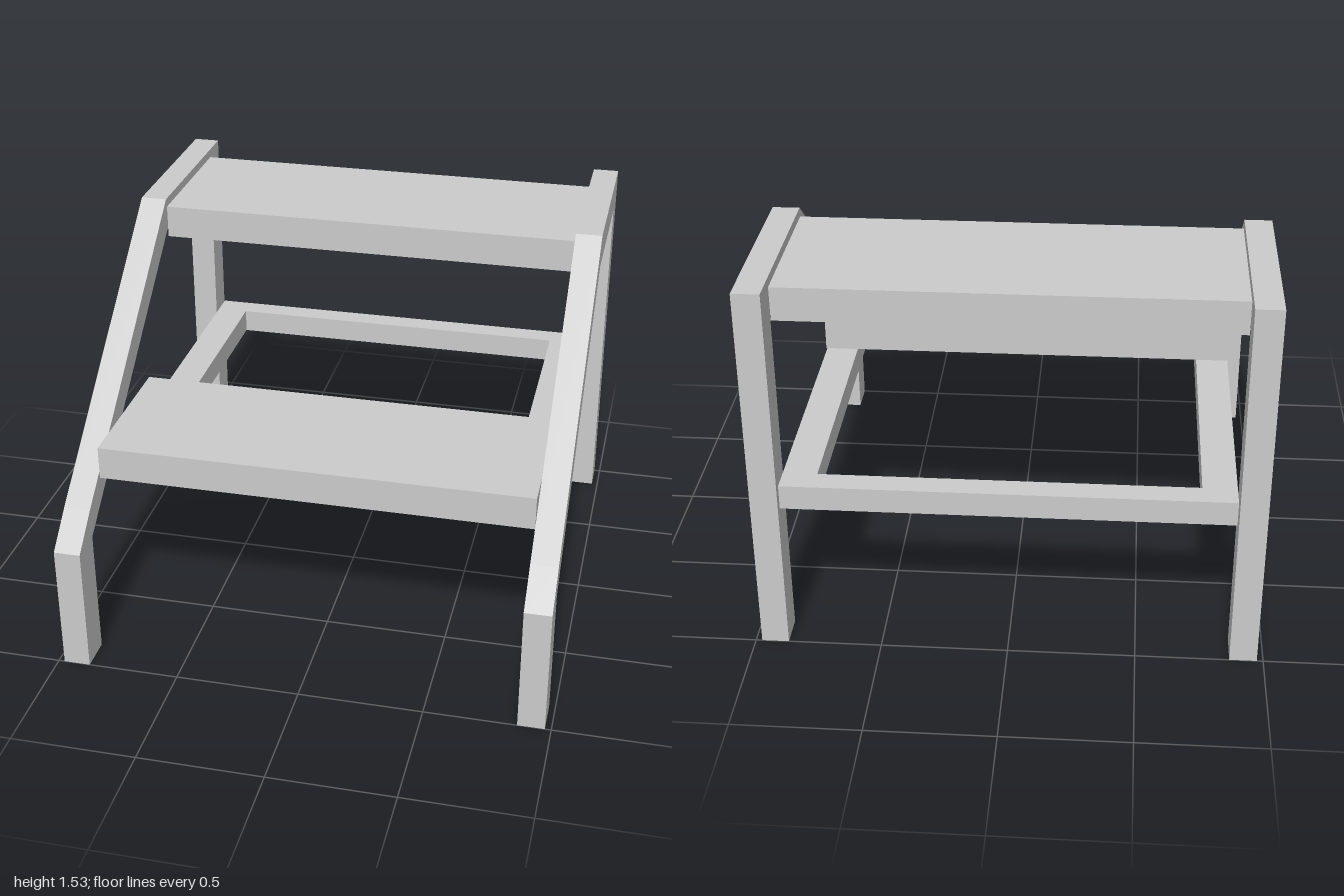
import * as THREE from 'three';

const material = new THREE.MeshStandardMaterial({ color: 0xcccccc, flatShading: true, side: THREE.DoubleSide });

const toShape = (points) => new THREE.Shape(points.map(([x, y]) => new THREE.Vector2(x, y)));

// Points are (z, y); the profile is extruded along x, centred on the given x
function sideFrame(name, points, width, x) {
  const geometry = new THREE.ExtrudeGeometry(toShape(points), { depth: width, bevelEnabled: false });
  geometry.translate(0, 0, -width / 2);
  geometry.rotateY(-Math.PI / 2);
  const mesh = new THREE.Mesh(geometry, material);
  mesh.position.x = x;
  mesh.name = name;
  return mesh;
}

// Board spanning between the side frames
function board(name, bottom, top, back, front) {
  const mesh = new THREE.Mesh(new THREE.BoxGeometry(1.735, top - bottom, front - back), material);
  mesh.position.set(0, (bottom + top) / 2, (back + front) / 2);
  mesh.name = name;
  return mesh;
}

const rectangle = (x, y0, y1) => [[-x, y0], [x, y0], [x, y1], [-x, y1]];

export function createModel() {
  const model = new THREE.Group();
  model.name = 'stepStool';

  // Bent side frames: short front leg, sloping rail, top rail, tall back leg
  const profile = [
    [1, 0], [1, 0.525], [0.86, 0.65], [-0.235, 1.535], [-1, 1.535], [-1, 0],
    [-0.87, 0], [-0.87, 1.4], [-0.235, 1.4], [0.86, 0.525], [0.86, 0],
  ];
  model.add(sideFrame('leftSideFrame', profile, 0.107, 0.922));
  model.add(sideFrame('rightSideFrame', profile, 0.107, -0.922));

  // Treads
  model.add(board('topStep', 1.365, 1.5, -0.87, -0.24));
  model.add(board('lowerStep', 0.725, 0.86, 0.108, 0.735));

  // Rectangular brace under the lower step
  const outline = toShape(rectangle(0.863, -0.575, 0.99));
  outline.holes.push(toShape(rectangle(0.73, -0.475, 0.895)));
  const braceGeometry = new THREE.ExtrudeGeometry(outline, { depth: 0.1, bevelEnabled: false });
  braceGeometry.rotateX(-Math.PI / 2);
  const brace = new THREE.Mesh(braceGeometry, material);
  brace.position.y = 0.625;
  brace.name = 'braceFrame';
  model.add(brace);

  return model;
}
